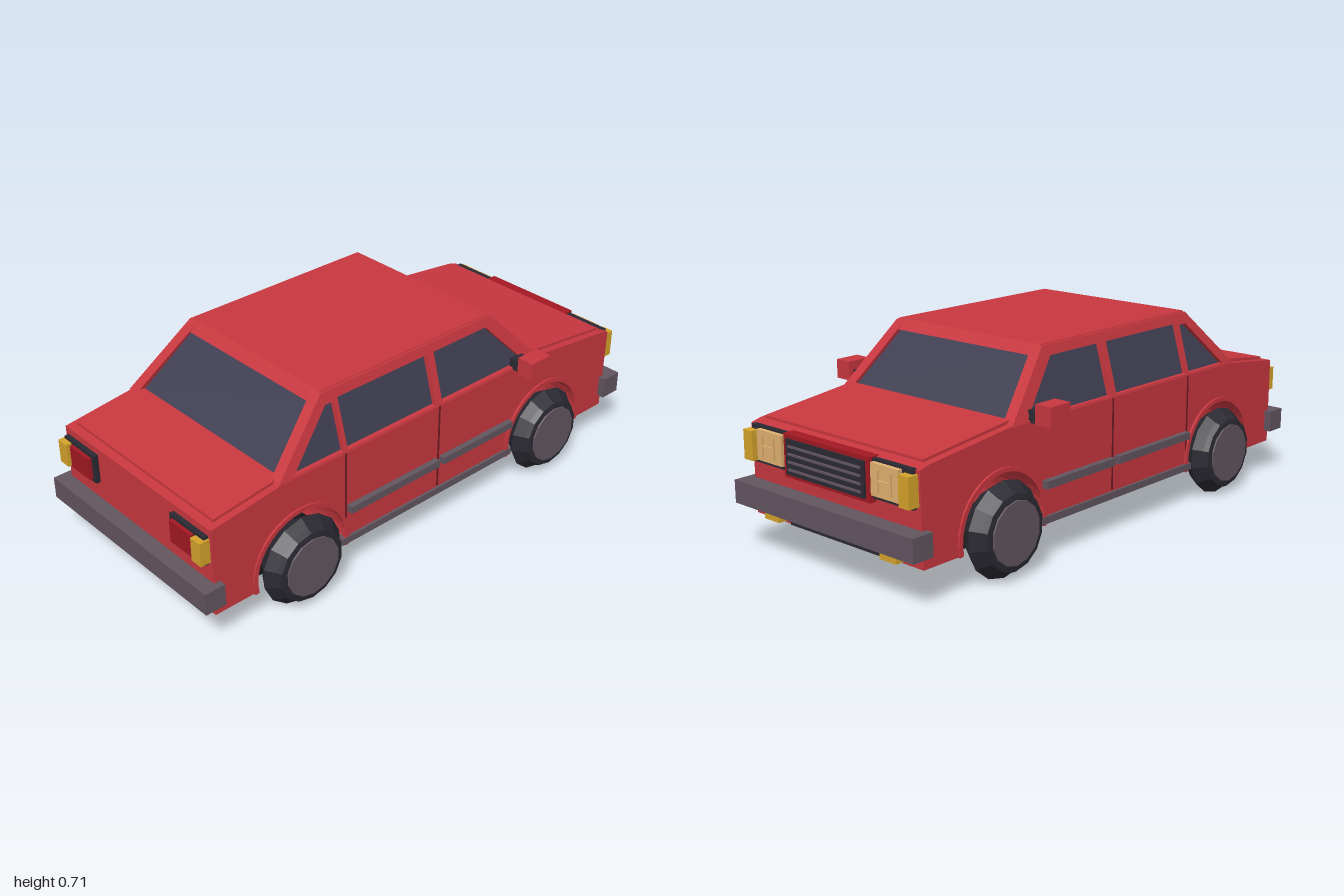
import * as THREE from 'three';

const mat = (color) => new THREE.MeshStandardMaterial({ color, flatShading: true, side: THREE.DoubleSide });
const RED = mat(0xc8373f), DEEP_RED = mat(0xa31822), SEAM = mat(0x6e1a22), GLASS = mat(0x3f3f52);
const DARK = mat(0x2b2932), BLACK = mat(0x17161a), GREY = mat(0x62555f), AMBER = mat(0xd6a32c), LAMP = mat(0xe0b070);

export function createModel() {
  const car = new THREE.Group();
  car.name = 'sedan';

  const add = (name, geometry, material) => {
    const mesh = new THREE.Mesh(geometry, material);
    mesh.name = name;
    car.add(mesh);
    return mesh;
  };
  // box given by its limits on each axis
  const box = (name, material, x0, x1, y0, y1, z0, z1) => {
    const g = new THREE.BoxGeometry(x1 - x0, y1 - y0, Math.abs(z1 - z0));
    g.translate((x0 + x1) / 2, (y0 + y1) / 2, (z0 + z1) / 2);
    return add(name, g, material);
  };
  // same box on both sides of the car
  const pair = (name, material, x0, x1, y0, y1, z0, z1) => {
    box(name + 'Left', material, x0, x1, y0, y1, z0, z1);
    box(name + 'Right', material, x0, x1, y0, y1, -z1, -z0);
  };
  const polygon = (pts) => new THREE.Shape(pts.map(([x, y]) => new THREE.Vector2(x, y)));
  const extrude = (shape, depth, z0) =>
    new THREE.ExtrudeGeometry(shape, { depth, bevelEnabled: false, curveSegments: 10 }).translate(0, 0, z0);
  // tapered block: [rear x, front x, half width] at bottom and top
  const frustum = (y0, low, y1, high) => {
    const g = new THREE.BoxGeometry(1, 1, 1), p = g.attributes.position;
    for (let i = 0; i < p.count; i++) {
      const up = p.getY(i) > 0, s = up ? high : low;
      p.setXYZ(i, p.getX(i) < 0 ? s[0] : s[1], up ? y1 : y0, Math.sign(p.getZ(i)) * s[2]);
    }
    g.computeVertexNormals();
    return g;
  };

  const axles = [-0.592, 0.583];

  // lower body with wheel arches cut through
  const body = new THREE.Shape();
  const a = 0.207;
  body.moveTo(-0.945, 0.125);
  for (const cx of axles) {
    body.lineTo(cx - 0.191, 0.125);
    body.absarc(cx, 0.165, 0.195, Math.PI + a, -a, true);
  }
  [[0.93, 0.125], [0.938, 0.44], [0.9, 0.45], [0.53, 0.492], [-0.66, 0.487], [-0.945, 0.45]]
    .forEach(([x, y]) => body.lineTo(x, y));
  body.closePath();
  add('body', extrude(body, 0.8, -0.4), RED);

  // hood and trunk lid
  add('hood', extrude(polygon([[0.52, 0.495], [0.9, 0.452], [0.9, 0.461], [0.52, 0.505]]), 0.75, -0.375), RED);
  add('trunkLid', extrude(polygon([[-0.915, 0.455], [-0.65, 0.488], [-0.65, 0.499], [-0.915, 0.465]]), 0.75, -0.375), RED);
  box('floorPan', BLACK, -0.83, 0.81, 0.1, 0.135, -0.313, 0.313);

  // cabin: glass core, roof and side frames leaning inwards
  add('cabinGlass', frustum(0.485, [-0.655, 0.525, 0.385], 0.69, [-0.452, 0.327, 0.326]), GLASS);
  add('roof', frustum(0.675, [-0.478, 0.358, 0.343], 0.71, [-0.445, 0.327, 0.332]), RED);
  const frame = polygon([[-0.68, 0.487], [0.54, 0.487], [0.332, 0.705], [-0.45, 0.705]]);
  frame.holes.push(
    polygon([[-0.615, 0.495], [-0.403, 0.495], [-0.403, 0.665], [-0.44, 0.665]]),
    polygon([[-0.387, 0.495], [0.015, 0.495], [0.015, 0.672], [-0.387, 0.672]]),
    polygon([[0.046, 0.495], [0.465, 0.495], [0.3, 0.672], [0.046, 0.672]]));
  for (const side of [1, -1]) {
    const g = extrude(frame, 0.042, side > 0 ? 0.36 : -0.402), p = g.attributes.position;
    for (let i = 0; i < p.count; i++) p.setZ(i, p.getZ(i) - side * (p.getY(i) - 0.487) * 0.28);
    g.computeVertexNormals();
    add(side > 0 ? 'windowFrameLeft' : 'windowFrameRight', g, RED);
  }

  // door seams, mouldings and sills
  for (const x of [-0.4, 0.03]) pair('doorSeam', SEAM, x, x + 0.007, 0.16, 0.487, 0.395, 0.402);
  pair('rearDoorMoulding', GREY, -0.39, 0.022, 0.253, 0.28, 0.39, 0.422);
  pair('frontDoorMoulding', GREY, 0.042, 0.395, 0.253, 0.28, 0.39, 0.422);
  pair('sill', GREY, -0.42, 0.41, 0.13, 0.155, 0.38, 0.41);

  // arch lips and wheels
  const tyre = [[0, -0.047], [0.133, -0.047], [0.164, 0], [0.138, 0.032], [0.13, 0.05], [0.112, 0.053], [0, 0.053]]
    .map(([r, h]) => new THREE.Vector2(r, h));
  for (const cx of axles) {
    const lip = new THREE.Shape();
    lip.absarc(cx, 0.165, 0.203, -a, Math.PI + a, false);
    lip.absarc(cx, 0.165, 0.187, Math.PI + a, -a, true);
    for (const side of [1, -1]) {
      add('archLip', extrude(lip, 0.018, side > 0 ? 0.39 : -0.408), RED);
      const wheel = new THREE.Group();
      wheel.name = 'wheel';
      const rubber = new THREE.Mesh(new THREE.LatheGeometry(tyre, 14).rotateX(Math.PI / 2), DARK);
      rubber.name = 'tyre';
      const hub = new THREE.Mesh(new THREE.CylinderGeometry(0.108, 0.112, 0.02, 14).rotateX(Math.PI / 2), GREY);
      hub.name = 'hubcap';
      hub.position.z = 0.048;
      wheel.add(rubber, hub);
      wheel.position.set(cx, 0.164, side * 0.404);
      if (side < 0) wheel.rotation.y = Math.PI;
      car.add(wheel);
    }
  }

  // bumpers
  box('frontBumper', GREY, 0.915, 0.998, 0.17, 0.25, -0.427, 0.427);
  box('rearBumper', GREY, -1, -0.922, 0.17, 0.25, -0.427, 0.427);

  // grille
  box('grilleSurround', DEEP_RED, 0.92, 0.962, 0.3, 0.446, -0.203, 0.203);
  box('grille', DARK, 0.93, 0.968, 0.312, 0.432, -0.187, 0.187);
  for (let i = 0; i < 4; i++) {
    const y = 0.328 + i * 0.026;
    box('grilleBar', GREY, 0.96, 0.974, y, y + 0.007, -0.172, 0.172);
  }

  // front lights
  pair('headlightHousing', DARK, 0.92, 0.95, 0.315, 0.442, 0.205, 0.382);
  pair('headlight', LAMP, 0.93, 0.966, 0.33, 0.435, 0.213, 0.337);
  for (const z of [0.245, 0.303]) pair('headlightRib', LAMP, 0.96, 0.972, 0.345, 0.42, z, z + 0.006);
  pair('headlightCrossRib', LAMP, 0.96, 0.972, 0.38, 0.386, 0.245, 0.309);
  pair('cornerLight', AMBER, 0.925, 0.978, 0.325, 0.427, 0.348, 0.392);

  // lower front air intake and indicators
  box('airIntake', DARK, 0.92, 0.938, 0.126, 0.162, -0.215, 0.215);
  pair('indicator', AMBER, 0.92, 0.965, 0.132, 0.161, 0.243, 0.316);

  // tail lights
  pair('tailLightHousing', DARK, -0.962, -0.935, 0.318, 0.425, 0.21, 0.385);
  pair('tailLight', DEEP_RED, -0.975, -0.94, 0.33, 0.413, 0.225, 0.335);
  pair('rearIndicator', AMBER, -0.983, -0.94, 0.328, 0.415, 0.345, 0.392);

  // door mirrors
  pair('mirrorStalk', DARK, 0.4, 0.455, 0.486, 0.527, 0.385, 0.46);
  pair('mirror', RED, 0.38, 0.475, 0.49, 0.558, 0.44, 0.505);

  return car;
}
